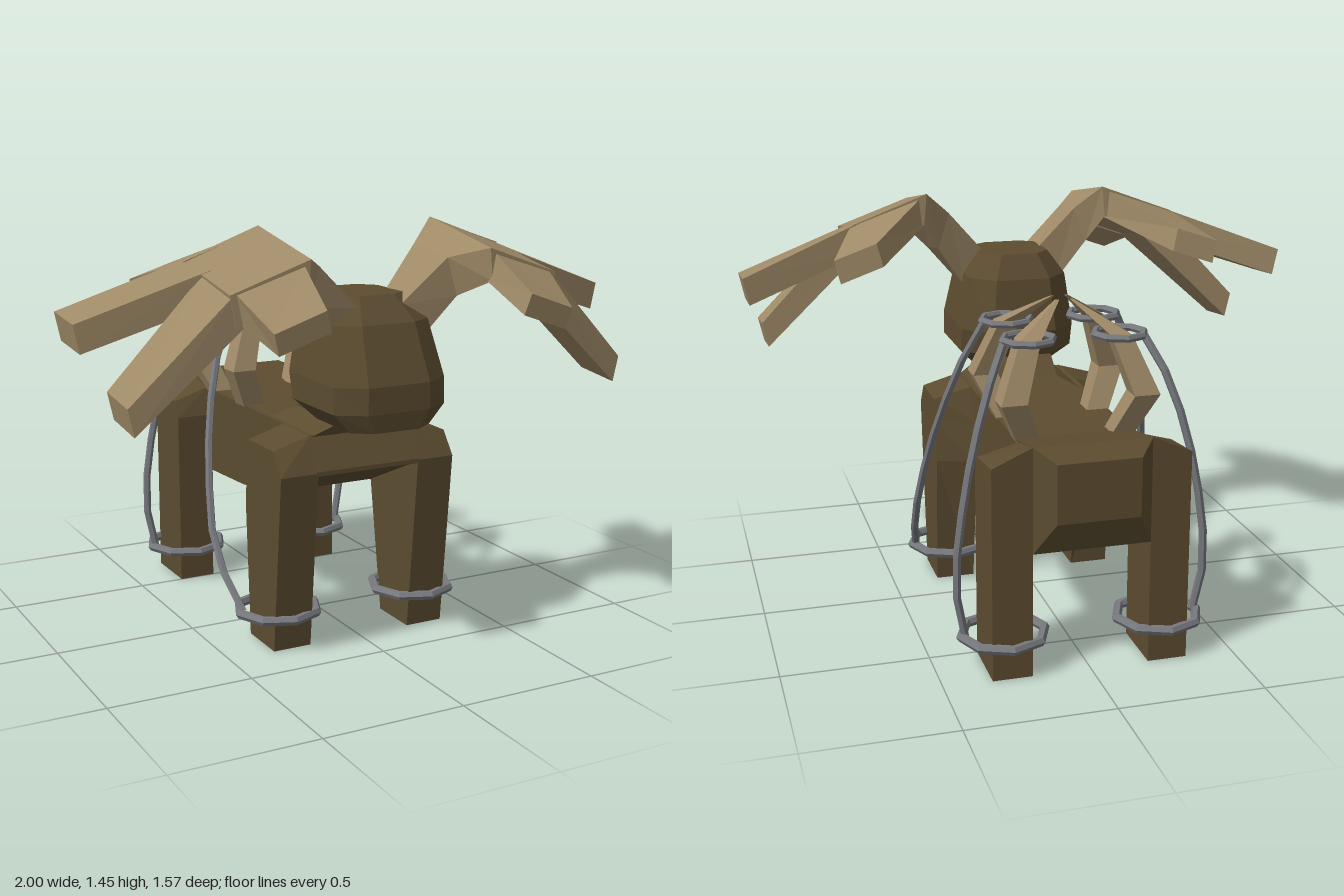
import * as THREE from 'three';

const mat = (color) => new THREE.MeshStandardMaterial({ color, flatShading: true });

// Closed solid through a row of matching cross-sections, always wound outwards
function loft(sections, side = 1) {
  const n = sections[0].length, tris = [];
  const P = sections.map((s) => s.map(([x, y, z]) => new THREE.Vector3(x * side, y, z)));
  for (let i = 0; i < P.length - 1; i++) {
    for (let j = 0; j < n; j++) {
      const k = (j + 1) % n;
      tris.push([P[i][j], P[i][k], P[i + 1][k]], [P[i][j], P[i + 1][k], P[i + 1][j]]);
    }
  }
  const last = P[P.length - 1];
  for (let j = 1; j < n - 1; j++) {
    tris.push([P[0][0], P[0][j + 1], P[0][j]], [last[0], last[j], last[j + 1]]);
  }
  const cross = new THREE.Vector3();
  const volume = tris.reduce((v, [a, b, c]) => v + a.dot(cross.crossVectors(b, c)), 0);
  const pos = [];
  for (const [a, b, c] of tris) {
    for (const p of volume > 0 ? [a, b, c] : [a, c, b]) pos.push(p.x, p.y, p.z);
  }
  const g = new THREE.BufferGeometry();
  g.setAttribute('position', new THREE.Float32BufferAttribute(pos, 3));
  g.computeVertexNormals();
  return g;
}

// Slab section: two top corners and the offset down to the bottom corners
const slab = (a, b, d) => {
  const down = (p) => p.map((v, i) => v + d[i]);
  return [a, b, down(b), down(a)];
};

// Upright section at z, and level sections at y
const wall = (z, w, y0, y1) => [[-w, y0, z], [w, y0, z], [w, y1, z], [-w, y1, z]];
const level = (y, w, z0, z1) => [[-w, y, z0], [w, y, z0], [w, y, z1], [-w, y, z1]];
const octagon = (y, w, z0, z1) => {
  const c = w * 0.45, d = (z1 - z0) * 0.22;
  return [[-w + c, y, z0], [w - c, y, z0], [w, y, z0 + d], [w, y, z1 - d * 0.6],
    [w - c, y, z1], [-w + c, y, z1], [-w, y, z1 - d * 0.6], [-w, y, z0 + d]];
};

export function createModel() {
  const model = new THREE.Group();
  const brown = mat(0x5c4c30), tan = mat(0x9f8a67), metal = mat(0x77797e);
  const add = (name, geometry, material, parent = model) => {
    const m = new THREE.Mesh(geometry, material);
    m.name = name;
    parent.add(m);
    return m;
  };

  // Trunk from chest to rump
  add('trunk', loft([
    wall(0.39, 0.2, 0.62, 0.635), wall(0.33, 0.2, 0.6, 0.75), wall(0.06, 0.2, 0.48, 0.75),
    wall(-0.2, 0.2, 0.445, 0.75), wall(-0.5, 0.2, 0.43, 0.75),
    wall(-0.72, 0.2, 0.43, 0.79), wall(-0.79, 0.14, 0.55, 0.75),
  ]), brown);

  // Neck and blocky head
  add('neck', loft([
    level(0.74, 0.2, -0.01, 0.33), level(0.79, 0.11, 0.06, 0.37), level(0.88, 0.11, 0.18, 0.45),
  ]), brown);
  add('head', loft([
    octagon(0.795, 0.15, 0.21, 0.575), octagon(0.86, 0.21, 0.13, 0.585), octagon(0.95, 0.21, 0.095, 0.585),
    octagon(1.14, 0.18, 0.12, 0.51), octagon(1.225, 0.12, 0.17, 0.43),
  ]), brown);

  for (const s of [1, -1]) {
    const label = s > 0 ? 'left' : 'right';

    // Legs, with sloping shoulders
    const legSection = (yi, yo, zi, zo, zf) =>
      [[0.195, yi, zi], [0.335, yo, zo], [0.335, yo, zf], [0.195, yi, zf]];
    add(label + 'FrontLeg', loft([
      legSection(0, 0, 0.14, 0.14, 0.33), legSection(0.48, 0.48, 0.06, 0.11, 0.376),
      legSection(0.63, 0.63, 0.09, 0.125, 0.39), legSection(0.75, 0.71, 0.13, 0.14, 0.33),
    ], s), brown);
    add(label + 'HindLeg', loft([
      [[0.2, 0, -0.72], [0.335, 0, -0.72], [0.335, 0, -0.5], [0.2, 0, -0.5]],
      [[0.2, 0.65, -0.72], [0.335, 0.65, -0.72], [0.335, 0.65, -0.5], [0.2, 0.65, -0.5]],
      [[0.2, 0.79, -0.72], [0.335, 0.73, -0.72], [0.335, 0.71, -0.53], [0.2, 0.75, -0.54]],
    ], s), brown);

    // Antler: stem widening into a palm, then four tines
    const antler = new THREE.Group();
    antler.name = label + 'Antler';
    model.add(antler);
    add('palm', loft([
      slab([0.08, 1.19, 0.31], [0.08, 1.19, 0.45], [0.09, -0.11, 0]),
      slab([0.24, 1.37, 0.27], [0.24, 1.34, 0.48], [0.04, -0.13, 0]),
      slab([0.33, 1.45, 0.22], [0.33, 1.38, 0.6], [0.01, -0.11, 0]),
      slab([0.6, 1.35, 0.22], [0.6, 1.285, 0.59], [-0.02, -0.1, 0]),
    ], s), tan, antler);
    const tines = {
      upperTine: [
        slab([0.57, 1.36, 0.22], [0.57, 1.335, 0.38], [-0.03, -0.1, 0]),
        slab([1.0, 1.2, 0.12], [1.0, 1.185, 0.305], [-0.02, -0.095, 0])],
      lowerTine: [
        slab([0.58, 1.335, 0.365], [0.58, 1.29, 0.59], [-0.06, -0.08, 0]),
        slab([0.92, 0.98, 0.37], [0.92, 0.96, 0.55], [-0.02, -0.09, 0])],
      backTine: [
        slab([0.34, 1.44, 0.24], [0.6, 1.35, 0.24], [-0.01, -0.1, 0]),
        slab([0.55, 1.32, 0.01], [0.7, 1.27, 0], [-0.02, -0.08, -0.01])],
      frontTine: [
        slab([0.35, 1.37, 0.58], [0.58, 1.29, 0.58], [-0.02, -0.1, 0]),
        slab([0.37, 1.25, 0.78], [0.54, 1.19, 0.77], [-0.02, -0.07, -0.01])],
    };
    for (const [name, sections] of Object.entries(tines)) add(name, loft(sections, s), tan, antler);

    // Back claws with their rings, ankle rings and connecting cords
    for (const e of [1, -1]) {
      const end = label + (e > 0 ? 'Front' : 'Hind');
      const midZ = -0.36;
      // diamond-turned square section, one corner pointing away from the middle
      const square = (x, y, dz, r) => [0, 1, 2, 3].map((i) => {
        const a = i * Math.PI / 2 + Math.PI / 4;
        return [x + Math.cos(a) * r, y, midZ + e * (dz + Math.sin(a) * r)];
      });
      add(end + 'Claw', loft([
        square(0.15, 0.72, 0.125, 0.055), square(0.225, 0.89, 0.19, 0.062),
        square(0.155, 1.08, 0.135, 0.05), square(0.025, 1.18, 0.03, 0.008),
      ], s), tan);

      const clawRing = add(end + 'ClawRing', new THREE.TorusGeometry(0.085, 0.013, 6, 8).rotateX(Math.PI / 2), metal);
      clawRing.position.set(0.155 * s, 1.083, midZ + e * 0.14);
      const ankleRing = add(end + 'AnkleRing', new THREE.TorusGeometry(0.143, 0.017, 6, 8).rotateX(Math.PI / 2), metal);
      ankleRing.position.set(0.27 * s, 0.115, e > 0 ? 0.225 : -0.605);

      const path = e > 0
        ? [[0.4, 0.12, 0.22], [0.43, 0.3, 0.06], [0.4, 0.58, -0.06], [0.35, 0.8, -0.145], [0.3, 0.95, -0.195], [0.235, 1.08, -0.23]]
        : [[0.4, 0.12, -0.605], [0.43, 0.3, -0.615], [0.4, 0.58, -0.61], [0.35, 0.8, -0.59], [0.3, 0.95, -0.56], [0.235, 1.08, -0.5]];
      const curve = new THREE.CatmullRomCurve3(path.map(([x, y, z]) => new THREE.Vector3(x * s, y, z)));
      add(end + 'Cord', new THREE.TubeGeometry(curve, 7, 0.014, 6), metal);
    }
  }
  return model;
}
